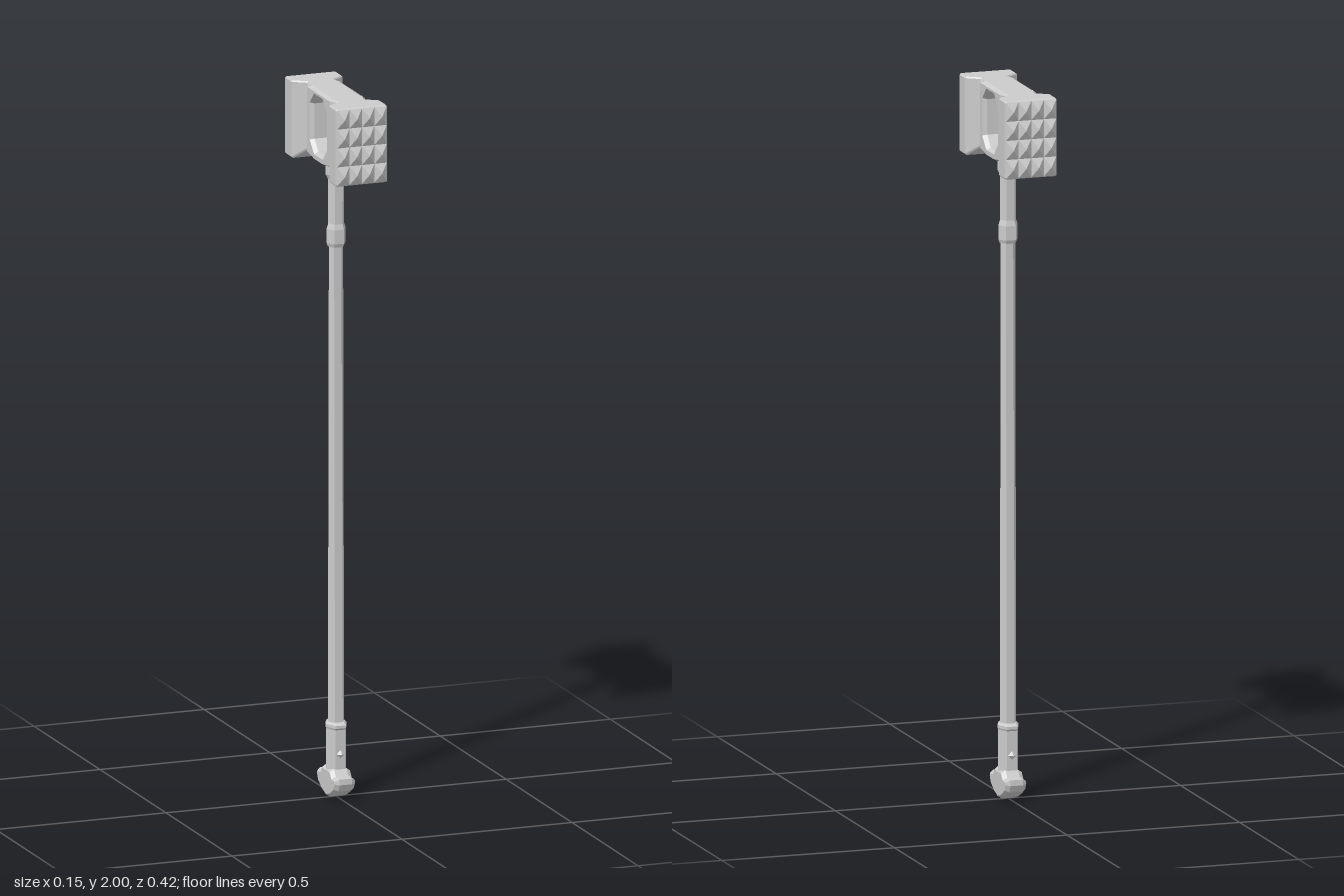
import * as THREE from 'three';

const material = new THREE.MeshStandardMaterial({ color: 0xcccccc, flatShading: true });

// Skin a list of equal-length rings (counter-clockwise about the travel axis) and cap both ends.
function loft(rings) {
  const pos = [];
  const tri = (...pts) => pts.forEach((p) => pos.push(...p));
  const n = rings[0].length;
  for (let i = 0; i < rings.length - 1; i++) {
    for (let j = 0; j < n; j++) {
      const k = (j + 1) % n;
      tri(rings[i][j], rings[i][k], rings[i + 1][k]);
      tri(rings[i][j], rings[i + 1][k], rings[i + 1][j]);
    }
  }
  const first = rings[0], last = rings[rings.length - 1];
  for (let j = 1; j < n - 1; j++) {
    tri(first[0], first[j + 1], first[j]);
    tri(last[0], last[j], last[j + 1]);
  }
  const geometry = new THREE.BufferGeometry();
  geometry.setAttribute('position', new THREE.Float32BufferAttribute(pos, 3));
  geometry.computeVertexNormals();
  return geometry;
}

// Six-sided upright bar from [y, halfWidthX, halfWidthZ] rows, with an edge facing each side.
function hexBar(rows) {
  return loft(rows.map(([y, rx, rz]) => Array.from({ length: 6 }, (_, k) => {
    const t = Math.PI / 2 + k * Math.PI / 3;
    return [Math.sin(t) * rx, y, Math.cos(t) * rz / Math.cos(Math.PI / 6)];
  })));
}

// Chamfered rectangular section of the head at depth z.
function section([z, w, y0, y1, c]) {
  return [[w, y0 + c], [w, y1 - c], [w - c, y1], [c - w, y1], [-w, y1 - c], [-w, y0 + c], [c - w, y0], [w - c, y0]]
    .map(([x, y]) => [x, y, z]);
}

// Bevelled side profile drawn in (z, y) and extruded across x.
function sideExtrude(shape, width, bevelThickness, bevelSize) {
  const depth = width - 2 * bevelThickness;
  const geometry = new THREE.ExtrudeGeometry(shape, {
    depth, bevelEnabled: true, bevelSegments: 1, bevelThickness, bevelSize, bevelOffset: -bevelSize,
  });
  return geometry.translate(0, 0, -depth / 2).rotateY(Math.PI / 2);
}

// Closed outline from its right half, mirrored.
function mirroredPoints(half) {
  const left = half.filter(([x]) => x > 0).map(([x, y]) => [-x, y]).reverse();
  return [...half, ...left].map(([x, y]) => new THREE.Vector2(x, y));
}

export function createModel() {
  const model = new THREE.Group();
  const add = (name, geometry, parent = model) => {
    const mesh = new THREE.Mesh(geometry, material);
    mesh.name = name;
    parent.add(mesh);
    return mesh;
  };

  // Handle
  add('shaft', hexBar([[0.18, 0.023, 0.022], [0.6, 0.023, 0.02], [1.59, 0.021, 0.013]]));
  add('collar', hexBar([
    [1.56, 0.024, 0.021], [1.57, 0.028, 0.025], [1.61, 0.028, 0.025], [1.625, 0.023, 0.021],
    [1.75, 0.023, 0.022], [1.765, 0.031, 0.026], [1.82, 0.031, 0.026],
  ]));

  // Grip end with studs and a flared foot
  add('gripSleeve', hexBar([
    [0.05, 0.029, 0.033], [0.195, 0.029, 0.033], [0.2, 0.031, 0.037], [0.208, 0.031, 0.037], [0.214, 0.025, 0.028],
  ]));
  for (const side of [-1, 1]) {
    const stud = add('stud', new THREE.OctahedronGeometry(0.012));
    stud.position.set(0, 0.127, side * 0.035);
  }
  const foot = new THREE.Shape(mirroredPoints([
    [0, 0], [0.035, 0.011], [0.065, 0.03], [0.075, 0.05], [0.074, 0.066], [0.046, 0.068], [0.032, 0.085],
  ]));
  add('foot', sideExtrude(foot, 0.06, 0.012, 0.008));

  // Middle of the head with an elongated eight-sided opening
  const head = new THREE.Group();
  head.name = 'head';
  model.add(head);
  const block = new THREE.Shape(mirroredPoints([[0.03, 1.797], [0.09, 1.806], [0.09, 2], [0.03, 2]]));
  block.holes.push(new THREE.Path(mirroredPoints([
    [0.03, 1.822], [0.06, 1.852], [0.06, 1.952], [0.03, 1.982],
  ]).reverse()));
  add('headBlock', sideExtrude(block, 0.104, 0.012, 0.006), head);

  // Two striking ends, each with a grid of pyramids
  for (const turn of [0, Math.PI]) {
    const end = new THREE.Group();
    end.name = 'strikingEnd';
    end.rotation.y = turn;
    head.add(end);
    add('endBlock', loft([
      [0.08, 0.052, 1.805, 2, 0.007], [0.118, 0.039, 1.807, 2, 0.004], [0.143, 0.075, 1.78, 2, 0.004],
      [0.191, 0.075, 1.78, 2, 0.004], [0.197, 0.073, 1.783, 1.997, 0.003],
    ].map(section)), end);
    const cellX = 0.0365, cellY = 0.0535;
    for (let col = 0; col < 4; col++) {
      for (let row = 0; row < 4; row++) {
        const spike = new THREE.ConeGeometry(Math.SQRT1_2, 1, 4, 1, true)
          .rotateY(Math.PI / 4).rotateX(Math.PI / 2).scale(cellX, cellY, 0.013);
        const mesh = add('spike', spike, end);
        mesh.position.set((col - 1.5) * cellX, 1.89 + (row - 1.5) * cellY, 0.2035);
      }
    }
  }
  return model;
}
